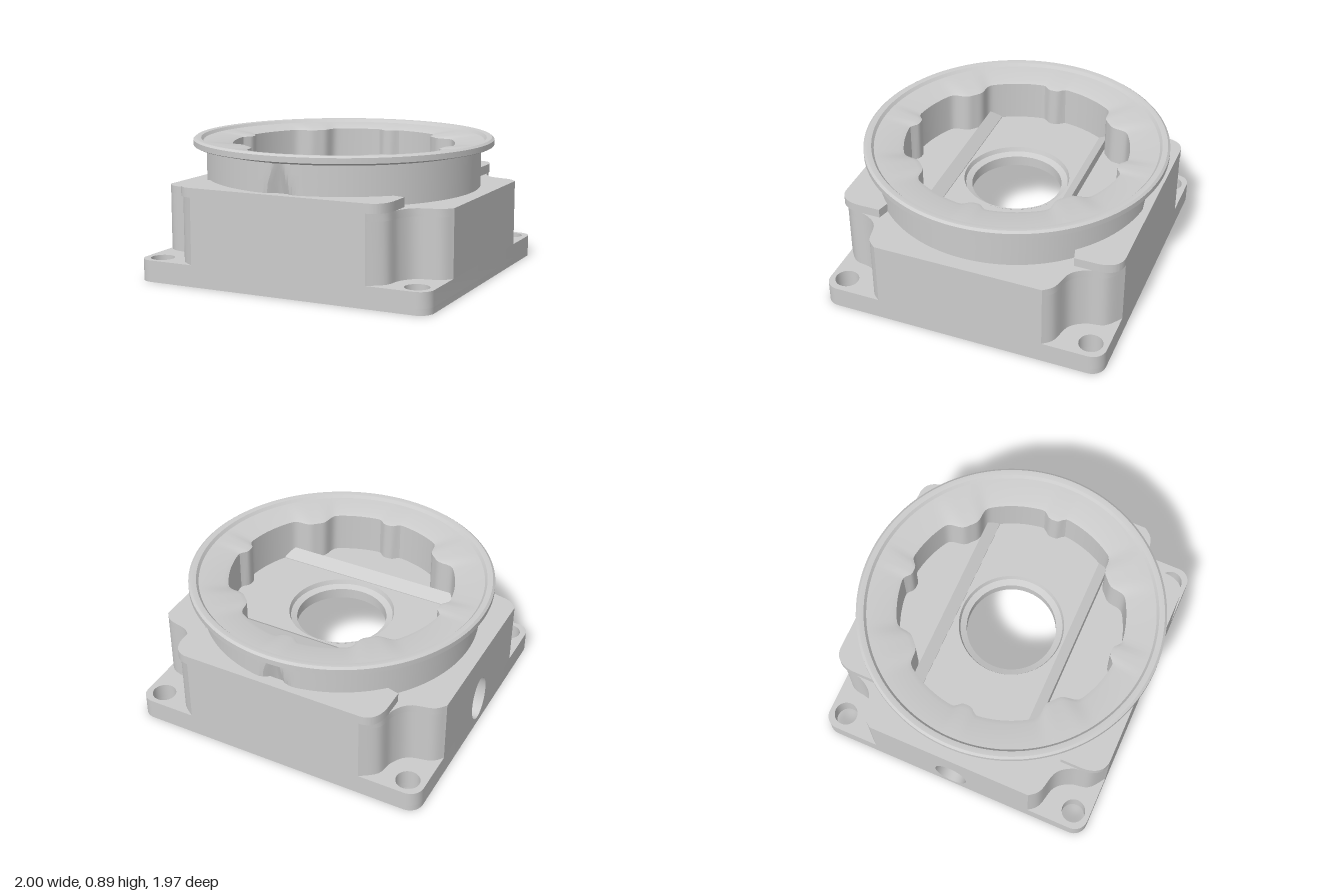
import * as THREE from 'three';
import { toCreasedNormals } from 'three/addons/utils/BufferGeometryUtils.js';

const V = (x, y) => new THREE.Vector2(x, y);
const mat = new THREE.MeshStandardMaterial({ color: 0xcccccc, side: THREE.DoubleSide });

// Mirror a quarter outline (from the +x side to the +z side) into a full loop starting at -x, -z
function loop(q) {
  const r = [...q].reverse();
  return [
    ...q.map(p => V(-p.x, -p.y)), ...r.map(p => V(p.x, -p.y)),
    ...q.map(p => V(p.x, p.y)), ...r.map(p => V(-p.x, p.y)),
  ];
}

// Plan shape (x, z) raised between two heights
function slab(shape, y0, y1) {
  const g = new THREE.ExtrudeGeometry(shape, { depth: y1 - y0, bevelEnabled: false, curveSegments: 24 });
  return g.rotateX(Math.PI / 2).translate(0, y1, 0);
}

// Radius of the lobed mouth of the collar
function mouthRadius(a) {
  const q = Math.atan2(Math.abs(Math.sin(a)), Math.abs(Math.cos(a)));
  const bump = (c, w, d) => d * Math.exp(-(((q - c) / w) ** 4));
  return 0.73 - bump(0, 0.08, 0.045) - bump(Math.PI / 2, 0.08, 0.045) - bump(0.83, 0.15, 0.08);
}

export function createModel() {
  const group = new THREE.Group();
  const add = (name, geo, crease = 0.6) => {
    const m = new THREE.Mesh(toCreasedNormals(geo, crease), mat);
    m.name = name;
    group.add(m);
  };

  // Outlines: body with scooped corners, its cavity, and the base plate
  const quarter = new THREE.SplineCurve([
    V(1, 0.55), V(0.94, 0.61), V(0.8, 0.65), V(0.73, 0.74), V(0.7, 0.86), V(0.6, 0.94),
  ]).getPoints(24);
  const baseQuarter = [];
  for (let i = 0; i <= 8; i++) {
    const a = i / 8 * Math.PI / 2;
    baseQuarter.push(V(0.91 + 0.09 * Math.cos(a), 0.85 + 0.09 * Math.sin(a)));
  }
  const body = loop(quarter), base = loop(baseQuarter);
  const cavity = loop(quarter.map(p => V(p.x - 0.1, p.y - 0.1)));

  // Ring-shaped wall left open on the -x side for the port panel
  const openWall = outer => new THREE.Shape([
    V(-1, -0.3), ...outer, V(-1, 0.3), V(-0.9, 0.3), ...[...cavity].reverse(), V(-0.9, -0.3),
  ]);
  const drill = shape => {
    for (const sx of [-1, 1]) for (const sz of [-1, 1])
      shape.holes.push(new THREE.Path().absarc(sx * 0.885, sz * 0.83, 0.077, 0, Math.PI * 2));
    return shape;
  };

  // Base flange with screw holes and a wider stepped opening below
  add('baseFlange', slab(drill(openWall(base)), 0.04, 0.14));
  const rim = drill(new THREE.Shape(base));
  rim.holes.push(new THREE.Path(loop([V(0.93, 0.66), V(0.84, 0.71), V(0.77, 0.8), V(0.74, 0.87)])));
  add('baseRim', slab(rim, 0, 0.04));

  // Body walls
  add('bodyWall', slab(openWall(body), 0.14, 0.52));

  // Side panel with an oval port
  const panel = new THREE.Shape([V(-0.3, 0.04), V(0.3, 0.04), V(0.3, 0.52), V(-0.3, 0.52)]);
  panel.holes.push(new THREE.Path().absellipse(0, 0.205, 0.11, 0.16, 0, Math.PI * 2));
  const panelGeo = new THREE.ExtrudeGeometry(panel, { depth: 0.1, bevelEnabled: false, curveSegments: 24 });
  add('portPanel', panelGeo.rotateY(-Math.PI / 2).translate(-0.9, 0, 0));

  // Deck closing the body, which is also the floor inside the collar
  const deck = new THREE.Shape(body);
  deck.holes.push(new THREE.Path().absarc(0, 0, 0.35, 0, Math.PI * 2));
  add('deck', slab(deck, 0.52, 0.57));

  // Raised front and back shoulders
  for (const s of [1, -1]) {
    const sh = new THREE.Shape();
    sh.moveTo(0.6, 0.62);
    sh.lineTo(0.72, 0.65);
    sh.lineTo(0.72, 0.78);
    sh.bezierCurveTo(0.72, 0.88, 0.68, 0.94, 0.6, 0.94);
    sh.lineTo(-0.6, 0.94);
    sh.bezierCurveTo(-0.68, 0.94, -0.72, 0.88, -0.72, 0.78);
    sh.lineTo(-0.72, 0.65);
    sh.lineTo(-0.6, 0.62);
    sh.absarc(0, 0, 0.863, Math.PI - 0.802, 0.802, true);
    const g = slab(sh, 0.57, 0.63);
    if (s < 0) g.rotateY(Math.PI);
    add(s > 0 ? 'frontShoulder' : 'backShoulder', g);
  }

  // Collar: lathe with a lobed inner wall and conical outer notches front and back
  const profile = [
    [0.73, 0.56], [0.73, 0.84], [0.76, 0.85], [0.92, 0.865], [0.935, 0.884], [0.955, 0.887], [0.97, 0.887],
    [0.985, 0.875], [0.985, 0.84], [0.975, 0.835], [0.9, 0.818], [0.9, 0.815], [0.9, 0.76], [0.9, 0.69], [0.9, 0.55],
  ].map(p => V(...p));
  const collar = new THREE.LatheGeometry(profile, 240);
  const pos = collar.attributes.position;
  for (let i = 0; i < pos.count; i++) {
    const x = pos.getX(i), y = pos.getY(i), z = pos.getZ(i);
    const r = Math.hypot(x, z);
    let nr = r;
    if (r < 0.8) {
      nr = mouthRadius(Math.atan2(z, x)) + (r - 0.73);
    } else if (r < 0.905 && y < 0.817) {
      const w = 0.035 + (0.82 - y) * 0.36;
      nr -= 0.3 * w * (1 + Math.cos(Math.PI * Math.min(1, Math.abs(x) / w)));
    }
    pos.setXYZ(i, x / r * nr, y, z / r * nr);
  }
  add('collar', collar, 0.5);

  // Low ridges across the floor on both sides of the bore
  for (const s of [1, -1]) {
    const p = new THREE.Shape([V(0.36, 0.56), V(0.36, 0.575), V(0.43, 0.63), V(0.435, 0.56)]);
    const g = new THREE.ExtrudeGeometry(p, { depth: 1.26, bevelEnabled: false });
    g.translate(0, 0, -0.63).rotateY(-s * Math.PI / 2);
    add(s > 0 ? 'frontRidge' : 'backRidge', g);
  }

  // Stepped seat around the bore
  const seat = [[0.355, 0.575], [0.345, 0.575], [0.335, 0.545], [0.295, 0.53], [0.295, 0.46], [0.36, 0.46], [0.36, 0.53]];
  add('boreSeat', new THREE.LatheGeometry(seat.map(p => V(...p)), 64), 0.5);

  // Small screw bosses under the floor near the port
  for (const z of [-0.03, 0.28])
    add('screwBoss', new THREE.CylinderGeometry(0.05, 0.035, 0.1, 20).translate(-0.79, 0.48, z));

  return group;
}
